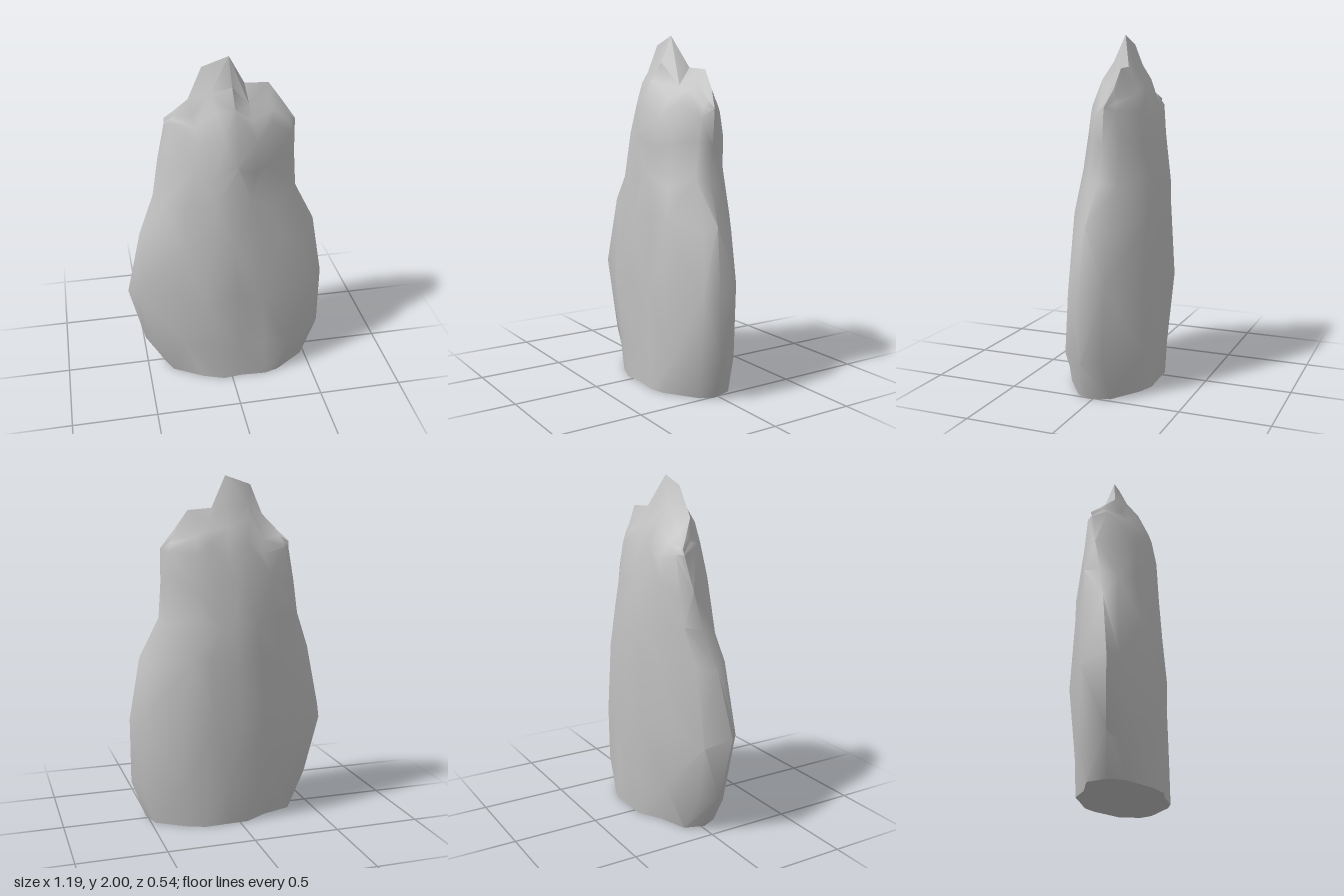
import * as THREE from 'three';
import { toCreasedNormals } from 'three/addons/utils/BufferGeometryUtils.js';

// column positions across the slab, from left edge (-1) to right edge (1)
const U = [-1, -0.91, -0.55, -0.24, 0.03, 0.3, 0.54, 0.92, 1];

// how far each column of the back reaches from the edge to the full back depth
const BACK_SHARE = [0, 0.42, 0.69, 0.93, 1, 0.96, 0.9, 0.42, 0];

// cross-sections: height, x range, z of the two side edges, back depth, front z of inner columns
const SECTIONS = [
  { y: 0.00, x: [-0.39, 0.51], edge: [0.02, 0.03], back: -0.24, front: [0.11, 0.21, 0.26, 0.24, 0.26, 0.22, 0.11] },
  { y: 0.22, x: [-0.51, 0.59], edge: [0.04, 0.04], back: -0.25, front: [0.10, 0.19, 0.26, 0.25, 0.25, 0.23, 0.14] },
  { y: 0.60, x: [-0.60, 0.59], edge: [0.06, 0.05], back: -0.27, front: [0.11, 0.19, 0.27, 0.28, 0.25, 0.23, 0.13] },
  { y: 0.97, x: [-0.51, 0.53], edge: [0.02, 0.03], back: -0.26, front: [0.10, 0.18, 0.24, 0.25, 0.24, 0.20, 0.10] },
  { y: 1.19, x: [-0.42, 0.42], edge: [-0.02, 0.00], back: -0.25, front: [0.07, 0.16, 0.22, 0.24, 0.22, 0.17, 0.07] },
  { y: 1.40, x: [-0.38, 0.41], edge: [-0.06, -0.02], back: -0.22, front: [0.04, 0.14, 0.20, 0.22, 0.18, 0.12, 0.06] },
  { y: 1.59, x: [-0.335, 0.41], edge: [-0.09, -0.03], back: -0.18, front: [-0.01, 0.12, 0.19, 0.21, 0.15, 0.10, 0.03] },
];

// jagged top edge, one point per column
const CREST = [
  [-0.33, 1.63, -0.10], [-0.28, 1.69, -0.05], [-0.21, 1.78, 0.02],
  [-0.13, 1.95, 0], [0.02, 2, 0], [0.12, 1.82, -0.06],
  [0.26, 1.81, -0.07], [0.34, 1.70, -0.06], [0.41, 1.60, -0.03],
];

// tapering rings under the crest: [share of the rise, share of the thinning]
const TAPER = [[0.37, 0.3], [0.62, 0.65]];

// ring order: front columns left to right, then back columns right to left
const COLUMNS = [0, 1, 2, 3, 4, 5, 6, 7, 8, 7, 6, 5, 4, 3, 2, 1];

function sectionRing(s, row) {
  return COLUMNS.map((c, j) => {
    const t = (U[c] + 1) / 2;
    const x = THREE.MathUtils.lerp(s.x[0], s.x[1], t);
    const edgeZ = THREE.MathUtils.lerp(s.edge[0], s.edge[1], t);
    if (c === 0 || c === 8) return new THREE.Vector3(x, s.y, edgeZ);
    const z = j < 8 ? s.front[c - 1] : THREE.MathUtils.lerp(edgeZ, s.back, BACK_SHARE[c]);
    // small uneven chips on the inner faces
    const dx = c === 1 || c === 7 ? 0 : 0.015 * Math.sin(j * 4.1 + row * 2.3);
    const dy = row === 0 ? 0 : 0.045 * Math.sin(j * 2.6 + row * 1.9);
    const dz = 0.009 * Math.sin(j * 3.3 + row * 2.7);
    return new THREE.Vector3(x + dx, s.y + dy, z + dz);
  });
}

function rockGeometry() {
  const rings = SECTIONS.map(sectionRing);
  const last = rings[rings.length - 1];
  const crest = COLUMNS.map((c) => new THREE.Vector3(...CREST[c]));
  for (const [rise, thin] of TAPER) {
    rings.push(last.map((p, j) => {
      const q = p.clone().lerp(crest[j], rise);
      q.z = THREE.MathUtils.lerp(p.z, crest[j].z, thin);
      return q;
    }));
  }
  rings.push(crest);

  const n = COLUMNS.length;
  const pos = [];
  const tri = (...pts) => pts.forEach((p) => pos.push(p.x, p.y, p.z));

  // skin with alternating diagonals for a faceted surface
  for (let i = 0; i < rings.length - 1; i++) {
    for (let j = 0; j < n; j++) {
      const k = (j + 1) % n;
      const a = rings[i][j], b = rings[i][k], c = rings[i + 1][k], d = rings[i + 1][j];
      if ((i + j) % 2) {
        tri(a, b, c);
        tri(a, c, d);
      } else {
        tri(a, b, d);
        tri(b, c, d);
      }
    }
  }

  // flat underside
  const centre = new THREE.Vector3(0.06, 0, 0);
  for (let j = 0; j < n; j++) tri(centre, rings[0][(j + 1) % n], rings[0][j]);

  const geometry = new THREE.BufferGeometry();
  geometry.setAttribute('position', new THREE.Float32BufferAttribute(pos, 3));
  return toCreasedNormals(geometry, 0.9);
}

export function createModel() {
  const stone = new THREE.MeshStandardMaterial({ color: 0xc0c0c0 });
  stone.name = 'greyStone';

  const rock = new THREE.Mesh(rockGeometry(), stone);
  rock.name = 'standingRock';

  const model = new THREE.Group();
  model.name = 'rock';
  model.add(rock);
  return model;
}
